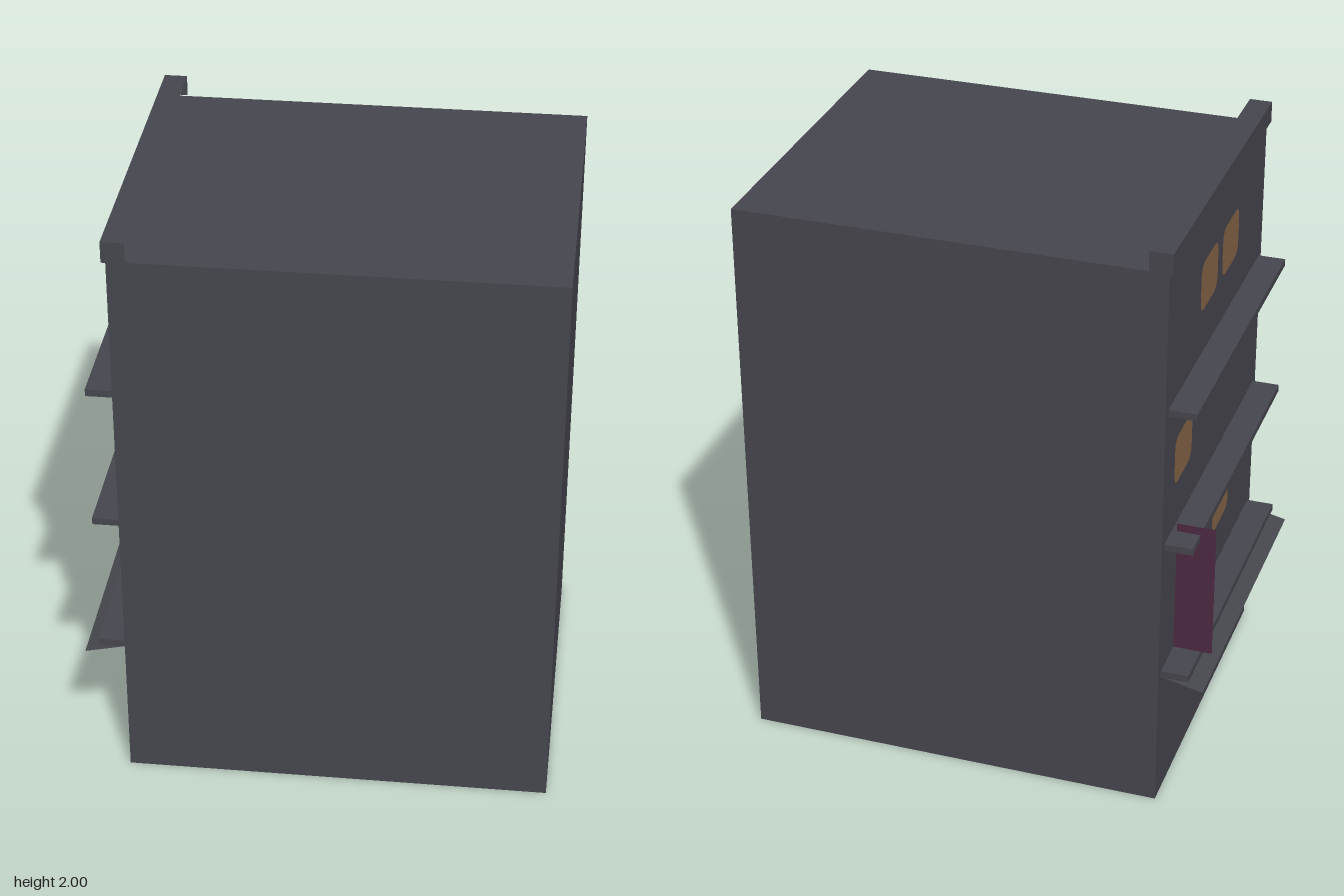
import * as THREE from 'three';

const mat = (name, color) => {
  const m = new THREE.MeshStandardMaterial({ color, side: THREE.DoubleSide });
  m.name = name;
  return m;
};

// Box between two corners; omit lists faces left open (0 +x, 1 -x, 2 +y, 3 -y, 4 +z, 5 -z)
function openBox(min, max, omit = []) {
  const size = max.map((v, i) => v - min[i]);
  const geo = new THREE.BoxGeometry(...size);
  geo.translate(...max.map((v, i) => (v + min[i]) / 2));
  const index = Array.from(geo.index.array).filter((_, i) => !omit.includes(Math.floor(i / 6)));
  geo.setIndex(index);
  geo.clearGroups();
  return geo;
}

function roundedRect(w, h, r) {
  const s = new THREE.Shape();
  const x = w / 2, y = h / 2;
  s.moveTo(-x + r, -y);
  s.lineTo(x - r, -y);
  s.quadraticCurveTo(x, -y, x, -y + r);
  s.lineTo(x, y - r);
  s.quadraticCurveTo(x, y, x - r, y);
  s.lineTo(-x + r, y);
  s.quadraticCurveTo(-x, y, -x, y - r);
  s.lineTo(-x, -y + r);
  s.quadraticCurveTo(-x, -y, -x + r, -y);
  return new THREE.ShapeGeometry(s, 4);
}

export function createModel() {
  const group = new THREE.Group();
  group.name = 'building';
  const concrete = mat('concrete', 0x46464e);
  const signRed = mat('sign maroon', 0x4e2a43);
  const litGlass = mat('lit window', 0x856548);

  const add = (name, geo, material) => {
    const mesh = new THREE.Mesh(geo, material);
    mesh.name = name;
    group.add(mesh);
    return mesh;
  };

  // Hollow body, open underneath
  add('body', openBox([-0.63, 0, -0.583], [0.773, 1.93, 0.583], [3]), concrete);

  // Cornice over the street side, open behind and below
  add('cornice', openBox([-0.643, 1.93, -0.59], [-0.568, 2, 0.59], [0, 3]), concrete);

  // Floor ledges
  for (const y of [0.478, 0.96, 1.443]) {
    add('ledge', openBox([-0.722, y - 0.012, -0.553], [-0.63, y + 0.012, 0.553], [0]), concrete);
  }

  // Thin sloping awning below the lowest ledge
  const run = 0.14, drop = 0.032;
  const awning = add('awning', new THREE.PlaneGeometry(Math.hypot(run, drop), 1.106), concrete);
  awning.geometry.rotateX(-Math.PI / 2);
  awning.rotation.z = Math.atan2(drop, run);
  awning.position.set(-0.63 - run / 2, 0.468 - drop / 2, 0);

  // Lit windows on the street side: [z, y]
  const windowGeo = roundedRect(0.2, 0.17, 0.045);
  for (const [z, y] of [[-0.12, 1.7], [0.137, 1.7], [-0.373, 1.22], [0.137, 0.738]]) {
    const pane = add('window', windowGeo, litGlass);
    pane.rotation.y = -Math.PI / 2;
    pane.position.set(-0.634, y, z);
  }

  // Hanging sign, a flat sheet standing out from the wall
  const sign = add('sign', new THREE.PlaneGeometry(0.128, 0.468), signRed);
  sign.position.set(-0.71, 0.766, -0.466);

  return group;
}
